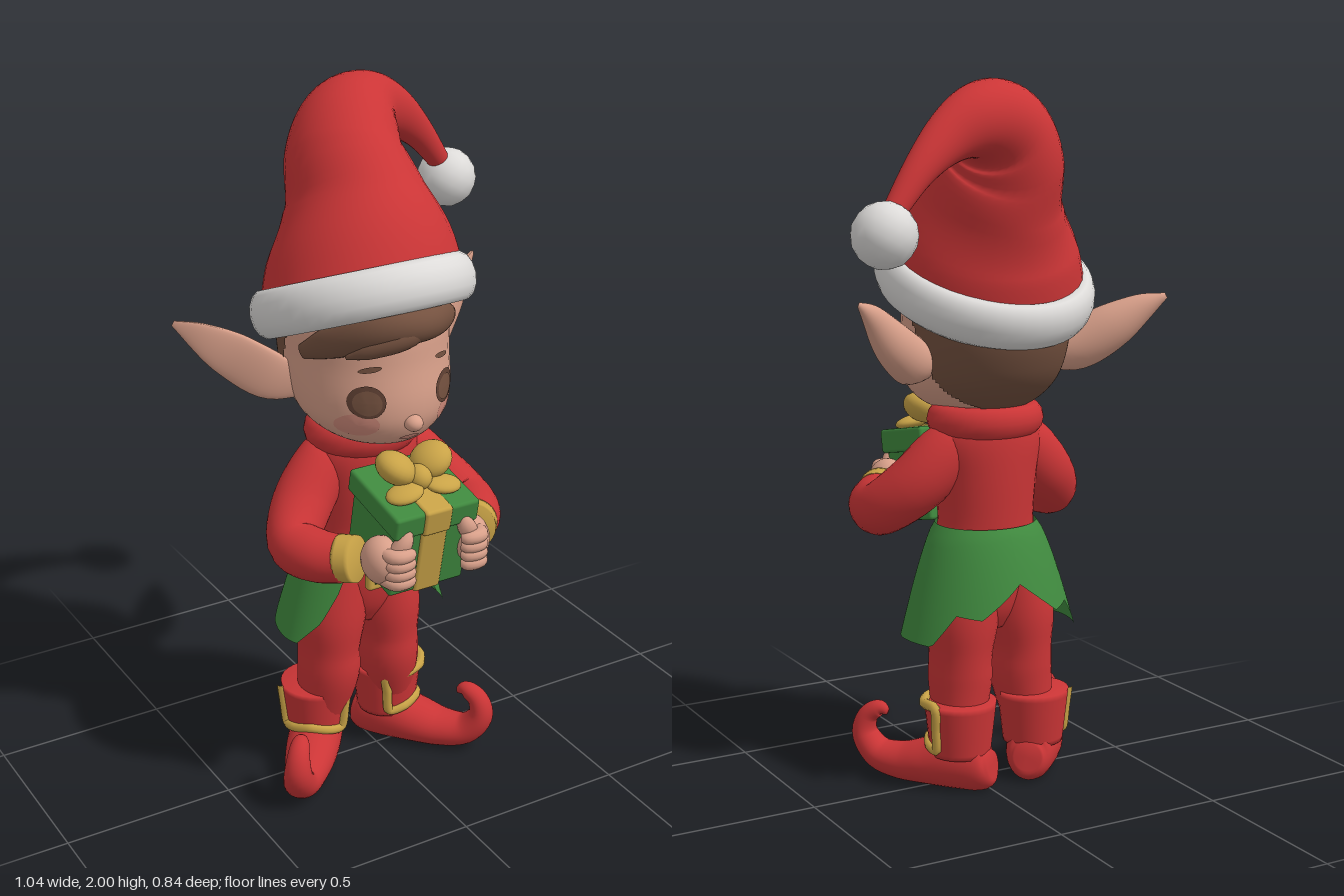
import * as THREE from 'three';
import { RoundedBoxGeometry } from 'three/addons/geometries/RoundedBoxGeometry.js';

const mat = (name, color, side = THREE.FrontSide) => {
  const m = new THREE.MeshStandardMaterial({ color, side });
  m.name = name;
  return m;
};

// Loft of ellipses along a path; rows are [x, y, z, ra, rb].
// ra lies along tangent x hint, rb along the remaining axis. level keeps the rings horizontal.
function sweep(rows, hint, { steps = 5, sides = 28, level = false, shape = null, keep = null } = {}) {
  const path = new THREE.CatmullRomCurve3(rows.map(r => new THREE.Vector3(r[0], r[1], r[2])), false, 'catmullrom');
  const size = new THREE.CatmullRomCurve3(rows.map(r => new THREE.Vector3(r[3], r[4], 0)), false, 'catmullrom');
  const n = (rows.length - 1) * steps;
  const pts = [], idx = [];
  for (let i = 0; i <= n; i++) {
    const p = path.getPoint(i / n), t = level ? Y : path.getTangent(i / n), r = size.getPoint(i / n);
    const a = t.clone().cross(hint).normalize(), b = a.clone().cross(t);
    for (let j = 0; j < sides; j++) {
      const q = j / sides * Math.PI * 2;
      const c = shape ? shape(Math.cos(q)) : Math.cos(q);
      pts.push(p.clone().addScaledVector(a, r.x * c).addScaledVector(b, r.y * Math.sin(q)));
    }
  }
  const tri = (a, b, c) => { if (!keep || (keep(pts[a]) && keep(pts[b]) && keep(pts[c]))) idx.push(a, b, c); };
  for (let i = 0; i < n; i++) for (let j = 0; j < sides; j++) {
    const k = (j + 1) % sides, a = i * sides + j, b = i * sides + k;
    tri(a, a + sides, b);
    tri(b, a + sides, b + sides);
  }
  // end caps
  const e = pts.length, last = n * sides;
  pts.push(path.getPoint(0), path.getPoint(1));
  for (let j = 0; j < sides; j++) {
    const k = (j + 1) % sides;
    tri(e, j, k);
    tri(e + 1, last + k, last + j);
  }
  const g = new THREE.BufferGeometry().setFromPoints(pts);
  g.setIndex(idx);
  g.computeVertexNormals();
  return g;
}

const X = new THREE.Vector3(1, 0, 0), Y = new THREE.Vector3(0, 1, 0), Z = new THREE.Vector3(0, 0, 1);

export function createModel() {
  const root = new THREE.Group(), body = new THREE.Group();
  body.name = 'elf';
  body.position.x = -0.04;
  root.add(body);

  const red = mat('red cloth', 0xcb3536), green = mat('green cloth', 0x408a3f, THREE.DoubleSide);
  const gold = mat('gold trim', 0xc9a347), skin = mat('skin', 0xd9a08a);
  const white = mat('white fur', 0xdddbd9), hair = mat('brown hair', 0x74513f, THREE.DoubleSide);
  const dark = mat('dark eye', 0x5f4033), blush = mat('blush', 0xd28c7c);

  const add = (name, geo, m, parent = body) => {
    const mesh = new THREE.Mesh(geo, m);
    mesh.name = name;
    parent.add(mesh);
    return mesh;
  };
  const ball = (name, m, p, s, parent = body, rz = 0) => {
    const b = add(name, new THREE.SphereGeometry(1, 20, 14), m, parent);
    b.position.set(...p);
    b.scale.set(...s);
    b.rotation.z = rz;
    return b;
  };

  // Head, neck and hair
  const headRows = [[0, 1.075, 0.06, 0.05, 0.06], [0, 1.095, 0.055, 0.135, 0.155], [0, 1.15, 0.04, 0.197, 0.212],
    [0, 1.22, 0.02, 0.22, 0.242], [0, 1.32, 0, 0.226, 0.25], [0, 1.42, 0.005, 0.225, 0.235],
    [0, 1.5, 0.01, 0.18, 0.185], [0, 1.56, 0, 0.08, 0.09]];
  const head = add('head', sweep(headRows, Z, { sides: 40, level: true }), skin);
  add('neck', sweep([[0, 1.02, -0.02, 0.085, 0.085], [0, 1.16, -0.01, 0.1, 0.1]], Z), skin);
  add('backHair', sweep(headRows.map(r => [r[0], r[1], r[2] - 0.003, r[3] + 0.007, r[4] + 0.007]), Z, {
    sides: 120, steps: 14, level: true,
    keep: p => p.y > 1.45 || (p.y > 1.1 && p.z < -0.09 + (p.y - 1.15) * 0.4)
  }), hair);
  add('fringe', sweep([[-0.225, 1.35, 0.06, 0.01, 0.02], [-0.18, 1.4, 0.15, 0.03, 0.045],
    [-0.1, 1.445, 0.235, 0.045, 0.055], [0, 1.455, 0.27, 0.05, 0.05], [0.08, 1.45, 0.25, 0.035, 0.045],
    [0.15, 1.43, 0.19, 0.02, 0.025], [0.215, 1.39, 0.09, 0.006, 0.01]], Y), hair);
  add('fringeLock', sweep([[0.05, 1.47, 0.25, 0.03, 0.03], [-0.03, 1.435, 0.28, 0.035, 0.035],
    [-0.12, 1.4, 0.25, 0.02, 0.025], [-0.17, 1.37, 0.2, 0.005, 0.006]], Y), hair);

  // Face details laid on the head surface
  const ray = new THREE.Raycaster();
  const decal = (name, m, x, y, rx, ry, lift, turn = 0) => {
    const g = new THREE.RingGeometry(0.001, 1, 24, 4).scale(rx, ry, 1).rotateZ(turn).translate(x, y, 0);
    const p = g.attributes.position;
    for (let i = 0; i < p.count; i++) {
      ray.set(new THREE.Vector3(p.getX(i), p.getY(i), 1), new THREE.Vector3(0, 0, -1));
      const hit = ray.intersectObject(head)[0];
      p.setZ(i, (hit ? hit.point.z : 0) + lift);
    }
    g.computeVertexNormals();
    add(name, g, m);
  };
  for (const s of [-1, 1]) {
    decal('cheek', blush, s * 0.135, 1.17, 0.045, 0.036, 0.003);
    decal('eye', dark, s * 0.12, 1.24, 0.043, 0.046, 0.005);
    decal('iris', hair, s * 0.12, 1.238, 0.033, 0.035, 0.007);
    decal('eyebrow', hair, s * 0.11, 1.33, 0.028, 0.008, 0.005, -s * 0.2);
  }
  decal('mouth', blush, 0, 1.122, 0.03, 0.008, 0.004);
  ball('nose', skin, [0, 1.17, 0.262], [0.026, 0.023, 0.028]);

  // Hat with drooping tip, fur brim and pompom
  add('hat', sweep([[-0.005, 1.44, 0.015, 0.285, 0.285], [0.01, 1.575, -0.03, 0.25, 0.262],
    [0.02, 1.69, -0.09, 0.187, 0.222], [0.025, 1.795, -0.15, 0.152, 0.186], [0.075, 1.87, -0.2, 0.13, 0.145],
    [0.16, 1.888, -0.245, 0.1, 0.095], [0.26, 1.85, -0.275, 0.07, 0.06], [0.36, 1.77, -0.305, 0.045, 0.042],
    [0.46, 1.65, -0.33, 0.028, 0.028]], Z, { sides: 36, steps: 6 }), red);
  const brim = add('hatBrim', new THREE.TorusGeometry(0.267, 0.042, 14, 48).rotateX(Math.PI / 2).scale(1, 1.6, 1.04), white);
  brim.position.set(-0.005, 1.45, 0.003);
  brim.rotation.x = -0.4;
  const pompom = add('pompom', new THREE.IcosahedronGeometry(0.087, 2), white);
  pompom.position.set(0.475, 1.615, -0.338);

  // Coat and collar
  add('coat', sweep([[0, 0.46, -0.015, 0.06, 0.06], [0, 0.52, -0.015, 0.11, 0.092], [0, 0.6, -0.012, 0.148, 0.11],
    [0, 0.7, -0.01, 0.15, 0.12],
    [0, 0.78, -0.012, 0.14, 0.122], [0, 0.9, -0.01, 0.15, 0.13], [0, 1.0, -0.01, 0.165, 0.13],
    [0, 1.06, -0.01, 0.14, 0.118], [0, 1.09, -0.01, 0.1, 0.09]], Z), red);
  const collar = add('collar', new THREE.TorusGeometry(0.118, 0.034, 12, 32).rotateX(Math.PI / 2).scale(1.12, 1.35, 0.97), red);
  collar.position.set(0, 1.06, -0.01);

  // Leaf-shaped skirt, cut away at the front
  const hem = [[0, 0.735], [34, 0.72], [42, 0.61], [53, 0.52], [72, 0.45], [116, 0.45], [132, 0.54], [150, 0.53], [180, 0.62]];
  const hemY = deg => {
    const i = Math.max(1, hem.findIndex(h => h[0] >= deg)), [a, b] = [hem[i - 1], hem[i]];
    return THREE.MathUtils.mapLinear(deg, a[0], b[0], a[1], b[1]);
  };
  const skirt = new THREE.PlaneGeometry(1, 1, 120, 12), sp = skirt.attributes.position;
  for (let i = 0; i < sp.count; i++) {
    const u = sp.getX(i) * 2, t = 0.5 - sp.getY(i);
    const drop = t * (0.765 - hemY(Math.min(180, Math.abs(u) * 180)));
    const q = u * Math.PI, flare = Math.pow(drop / 0.31, 0.75);
    sp.setXYZ(i, Math.sin(q) * (0.148 + flare * 0.11), 0.765 - drop,
      -0.012 + Math.cos(q) * (0.13 + flare * (Math.cos(q) < 0 ? 0.115 : 0.035)));
  }
  skirt.computeVertexNormals();
  add('skirt', skirt, green);

  // Belt buckle
  const buckle = add('buckle', new RoundedBoxGeometry(0.118, 0.115, 0.03, 2, 0.012), gold);
  buckle.position.set(-0.005, 0.665, 0.118);
  const plate = add('bucklePlate', new THREE.BoxGeometry(0.076, 0.07, 0.008), green);
  plate.position.set(-0.005, 0.665, 0.133);

  for (const s of [-1, 1]) {
    const side = rows => rows.map(r => [r[0] * s, ...r.slice(1)]);

    // Long pointed ear, flatter at the front
    add('ear', sweep(side([[0.19, 1.23, -0.01, 0.05, 0.045], [0.27, 1.25, -0.055, 0.066, 0.07],
      [0.35, 1.305, -0.11, 0.058, 0.066], [0.425, 1.37 + s * 0.01, -0.155, 0.036, 0.04],
      [0.48, 1.41 + s * 0.015, -0.195, 0.008, 0.008]]),
      Y, { shape: c => (c * s > 0 ? 0.2 * c : c) }), skin);

    // Sleeve, cuff and hand
    add('sleeve', sweep(side([[0.07, 1.02, -0.015, 0.065, 0.065], [0.13, 0.965, -0.01, 0.08, 0.085],
      [0.21, 0.88, 0.02, 0.085, 0.085], [0.275, 0.81, 0.09, 0.075, 0.078], [0.255, 0.802, 0.18, 0.075, 0.073],
      [0.2, 0.812, 0.262, 0.062, 0.064]]), Y), red);
    add('sleeveCuff', sweep(side([[0.215, 0.81, 0.24, 0.066, 0.067], [0.185, 0.818, 0.28, 0.064, 0.065]]), Y), gold);
    ball('palm', skin, [s * 0.137, 0.825, 0.33], [0.056, 0.068, 0.068]);
    for (let i = 0; i < 4; i++) {
      const y = 0.782 + i * 0.026;
      add('finger', sweep(side([[0.15, y, 0.34, 0.018, 0.018], [0.135, y, 0.393, 0.022, 0.02],
        [0.095, y, 0.398, 0.02, 0.019], [0.078, y, 0.385, 0.01, 0.01]]), Y, { sides: 12 }), skin);
    }
    add('thumb', sweep(side([[0.13, 0.84, 0.36, 0.022, 0.022], [0.1, 0.885, 0.378, 0.026, 0.024],
      [0.085, 0.925, 0.372, 0.014, 0.014]]), Z, { sides: 14 }), skin);

    // Leg
    add('leg', sweep([[0.065, 0.66, -0.015, 0.085, 0.1], [0.09, 0.5, -0.015, 0.1, 0.112],
      [0.098, 0.39, -0.015, 0.087, 0.105], [0.1, 0.3, -0.015, 0.088, 0.102], [0.115, 0.16, -0.035, 0.07, 0.075]]
      .map(r => [r[0] * s - 0.015, ...r.slice(1)]), Z), red);

    // Boot with curled toe, turned outward
    const boot = new THREE.Group();
    boot.name = 'boot';
    boot.position.set(s * 0.12 - 0.02, 0, -0.045);
    boot.rotation.y = s * 0.68;
    body.add(boot);
    const shoe = sweep([[0, 0.075, -0.1, 0.04, 0.04], [0, 0.07, -0.07, 0.075, 0.065], [0, 0.075, 0.01, 0.085, 0.078],
      [0, 0.06, 0.1, 0.068, 0.076], [0, 0.05, 0.18, 0.055, 0.064], [0, 0.062, 0.255, 0.046, 0.052],
      [0, 0.115, 0.3, 0.038, 0.042], [0, 0.17, 0.292, 0.03, 0.033], [0, 0.198, 0.255, 0.024, 0.025],
      [0, 0.19, 0.228, 0.01, 0.01]], X);
    const p = shoe.attributes.position;
    for (let i = 0; i < p.count; i++) p.setY(i, Math.max(0, p.getY(i)));
    shoe.computeVertexNormals();
    add('shoe', shoe, red, boot);
    const r = y => 0.087 + (y - 0.1) * 0.11;
    add('bootCuff', sweep([[0, 0.1, 0, r(0.1), r(0.1)], [0, 0.17, 0, r(0.17), r(0.17)],
      [0, 0.255, 0, r(0.255), r(0.255)]], Z), red, boot);
    const trim = [[-1.2, 0.252], [-1.18, 0.19], [-1.12, 0.125], [-0.6, 0.13], [0, 0.142],
      [0.6, 0.13], [1.12, 0.125], [1.18, 0.19], [1.2, 0.252], [0.6, 0.252], [0, 0.252], [-0.6, 0.252]]
      .slice(0, s > 0 ? 12 : 9)
      .map(([q, y]) => new THREE.Vector3(Math.sin(q) * r(y), y, Math.cos(q) * r(y)));
    const line = new THREE.CatmullRomCurve3(trim, s > 0, 'catmullrom', 0.4);
    add('bootTrim', new THREE.TubeGeometry(line, 80, 0.015, 8, s > 0), gold, boot);
  }

  // Gift box with ribbon and bow, leaning forward
  const gift = new THREE.Group();
  gift.name = 'gift';
  gift.position.set(0, 0.865, 0.245);
  gift.rotation.x = 0.2;
  body.add(gift);
  const box = (name, m, size, at) => add(name, new RoundedBoxGeometry(...size, 2, 0.01), m, gift).position.set(...at);
  box('giftBox', green, [0.235, 0.25, 0.235], [0, -0.015, 0]);
  box('giftLid', green, [0.262, 0.07, 0.258], [0, 0.095, 0]);
  box('ribbon', gold, [0.084, 0.258, 0.247], [0, -0.015, 0]);
  box('lidRibbon', gold, [0.086, 0.08, 0.27], [0, 0.095, 0]);
  ball('bowKnot', gold, [0, 0.165, 0.015], [0.034, 0.034, 0.04], gift);
  for (const s of [-1, 1]) {
    ball('bowLoop', gold, [s * 0.055, 0.185, -0.02], [0.06, 0.042, 0.06], gift, s * 0.5);
    ball('bowTail', gold, [s * 0.06, 0.146, 0.045], [0.055, 0.02, 0.04], gift, -s * 0.15);
  }
  return root;
}
